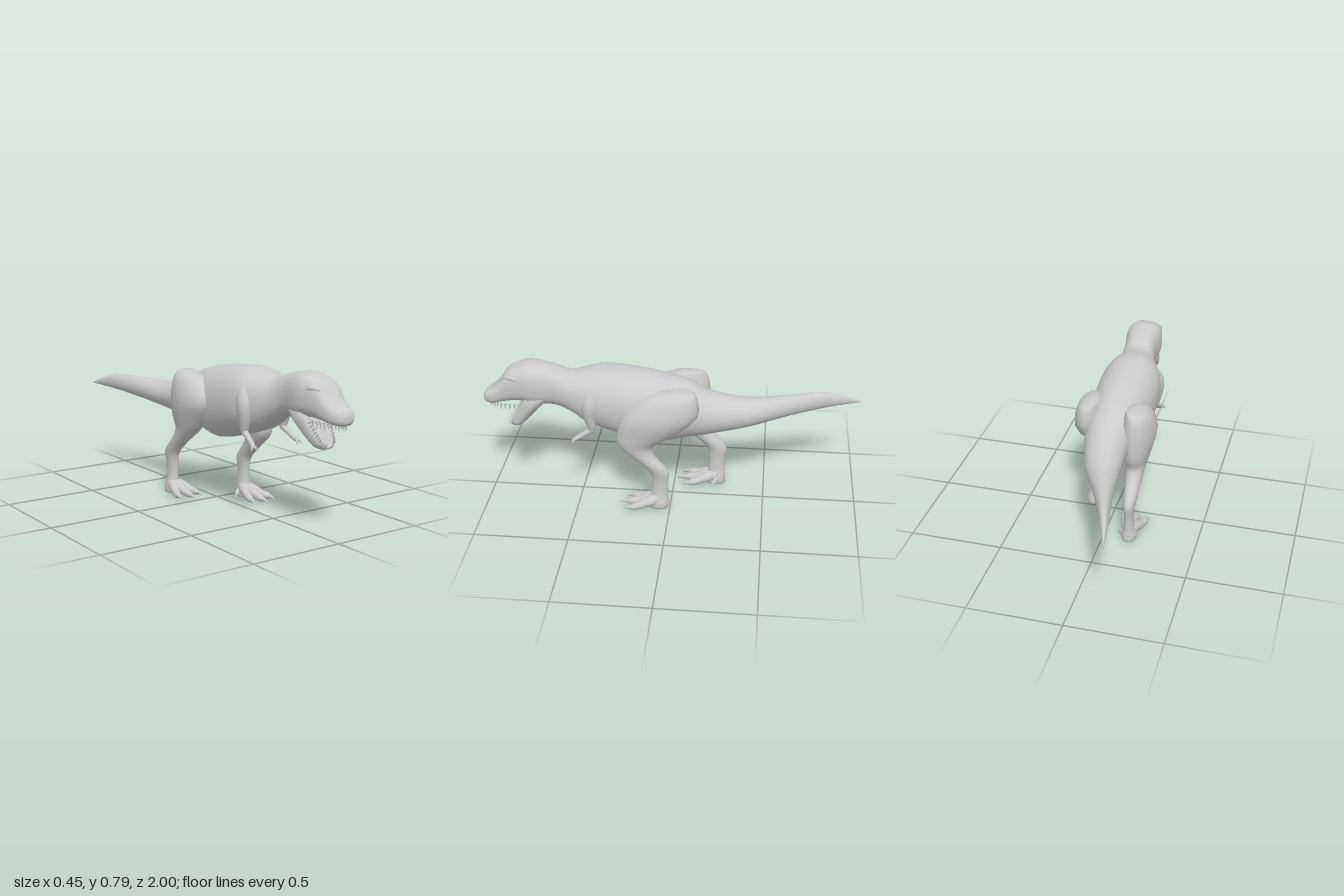
import * as THREE from 'three';

const material = new THREE.MeshStandardMaterial({ color: 0xcccccc });
const V = (x, y, z) => new THREE.Vector3(x, y, z);

// Catmull-Rom interpolation of every column in a table of sections
function smooth(rows, n) {
  const out = [];
  for (let i = 0; i < rows.length - 1; i++) {
    const p = [rows[Math.max(i - 1, 0)], rows[i], rows[i + 1], rows[Math.min(i + 2, rows.length - 1)]];
    for (let k = 0; k < n; k++) {
      const t = k / n;
      out.push(p[1].map((b, c) => {
        const a = p[0][c], d = p[2][c], e = p[3][c];
        return b + 0.5 * t * (d - a + t * (2 * a - 5 * b + 4 * d - e + t * (3 * (b - d) + e - a)));
      }));
    }
  }
  out.push(rows[rows.length - 1]);
  return out;
}

// closed surface through a list of rings, capped at both ends
function skin(name, rings) {
  const m = rings[0].length, pts = rings.flat(), index = [];
  for (let i = 0; i < rings.length - 1; i++) {
    for (let j = 0; j < m; j++) {
      const a = i * m + j, b = i * m + (j + 1) % m;
      index.push(a, b, a + m, b, b + m, a + m);
    }
  }
  for (const end of [0, rings.length - 1]) {
    const c = pts.length;
    pts.push(rings[end].reduce((s, p) => s.add(p), V(0, 0, 0)).divideScalar(m));
    for (let j = 0; j < m; j++) {
      const a = end * m + j, b = end * m + (j + 1) % m;
      index.push(...(end ? [a, b, c] : [b, a, c]));
    }
  }
  // turn the faces outward if the enclosed volume is negative
  let volume = 0;
  for (let i = 0; i < index.length; i += 3) {
    volume += pts[index[i]].dot(V(0, 0, 0).crossVectors(pts[index[i + 1]], pts[index[i + 2]]));
  }
  if (volume < 0) index.reverse();
  const geo = new THREE.BufferGeometry().setFromPoints(pts);
  geo.setIndex(index);
  geo.computeVertexNormals();
  const mesh = new THREE.Mesh(geo, material);
  mesh.name = name;
  return mesh;
}

const ring = (n, f) => Array.from({ length: n }, (_, i) => f(i / n * Math.PI * 2));
const power = (v, e) => Math.sign(v) * Math.abs(v) ** e;

// tapered round limb along points [x, y, z, radius], kept above floor
function limb(name, points, floor = -1, sides = 10) {
  const rows = smooth(points, 3);
  return skin(name, rows.map((r, i) => {
    const a = rows[Math.max(i - 1, 0)], b = rows[Math.min(i + 1, rows.length - 1)];
    const dir = V(b[0] - a[0], b[1] - a[1], b[2] - a[2]).normalize();
    const side = V(1, 0, 0).addScaledVector(dir, -dir.x).normalize();
    const up = V(0, 0, 0).crossVectors(dir, side);
    return ring(sides, (t) => {
      const p = V(r[0], r[1], r[2]).addScaledVector(side, r[3] * Math.cos(t)).addScaledVector(up, r[3] * Math.sin(t));
      p.y = Math.max(p.y, floor);
      return p;
    });
  }));
}

// leg from horizontal sections [y, x centre, half width, z centre, half depth]
function leg(name, side, rows, footZ) {
  const g = new THREE.Group();
  g.name = name;
  g.add(skin('thighAndShank', smooth(rows, 3).map(([y, x, hx, z, hz]) =>
    ring(16, (t) => V(side * (x + hx * Math.cos(t)), y, z + hz * Math.sin(t))))));
  const foot = new THREE.Group();
  foot.name = 'foot';
  foot.position.set(side * 0.136, 0, footZ);
  for (const a of [-1, 0, 1]) {
    const k = a ? 1 : 1.15;
    foot.add(limb('toe', [
      [0, 0.055, 0, 0.034], [a * 0.028, 0.042, 0.06 * k, 0.029], [a * 0.047, 0.028, 0.105 * k, 0.021],
      [a * 0.058, 0.023, 0.14 * k, 0.019], [a * 0.062, 0.016, 0.16 * k, 0.008]], 0.004));
    foot.add(limb('claw', [
      [a * 0.058, 0.024, 0.145 * k, 0.013], [a * 0.064, 0.02, 0.172 * k, 0.009], [a * 0.068, 0.008, 0.196 * k, 0.001]], 0.003, 7));
  }
  foot.add(limb('dewclaw', [
    [-side * 0.02, 0.04, 0, 0.018], [-side * 0.05, 0.025, 0.01, 0.012], [-side * 0.066, 0.01, 0.03, 0.001]], 0.003, 7));
  g.add(foot);
  return g;
}

function arm(side) {
  const g = new THREE.Group();
  g.name = side > 0 ? 'leftArm' : 'rightArm';
  const at = (rows) => rows.map(([x, ...rest]) => [side * x, ...rest]);
  g.add(limb('upperArmAndForearm', at([
    [0.1, 0.69, 0.4, 0.03], [0.125, 0.61, 0.42, 0.045], [0.127, 0.53, 0.425, 0.033], [0.122, 0.46, 0.415, 0.021],
    [0.126, 0.437, 0.445, 0.015], [0.131, 0.415, 0.48, 0.014], [0.137, 0.4, 0.505, 0.012]])));
  for (const [x, y, z] of [[0.125, 0.374, 0.528], [0.158, 0.378, 0.522]]) {
    g.add(limb('finger', at([
      [0.136, 0.405, 0.498, 0.01], [(x + 0.139) / 2, y + 0.018, z - 0.008, 0.007], [x, y, z, 0.001]]), -1, 7));
  }
  return g;
}

function tooth(base, dir, length) {
  const mesh = new THREE.Mesh(new THREE.ConeGeometry(0.0065, length, 6), material);
  mesh.name = 'tooth';
  mesh.quaternion.setFromUnitVectors(V(0, 1, 0), dir);
  mesh.position.copy(base).addScaledVector(dir, length / 2 - 0.006);
  return mesh;
}

export function createModel() {
  const model = new THREE.Group();
  model.name = 'dinosaur';

  // tail, trunk, neck and upper head: [z, x centre, half width, top, bottom, squareness]
  const body = [
    [-1, -0.205, 0.003, 0.525, 0.515, 1], [-0.88, -0.175, 0.019, 0.572, 0.507, 1],
    [-0.78, -0.147, 0.03, 0.594, 0.497, 1], [-0.6, -0.095, 0.052, 0.592, 0.472, 1],
    [-0.4, -0.035, 0.09, 0.596, 0.44, 1], [-0.2, 0, 0.115, 0.645, 0.41, 1],
    [-0.08, 0, 0.14, 0.706, 0.385, 1], [0.08, 0, 0.16, 0.745, 0.355, 0.95],
    [0.25, 0, 0.168, 0.765, 0.395, 0.9], [0.37, 0, 0.162, 0.77, 0.43, 0.9],
    [0.46, 0.005, 0.138, 0.753, 0.465, 0.9], [0.54, 0.012, 0.104, 0.739, 0.52, 0.9],
    [0.62, 0.02, 0.088, 0.772, 0.555, 0.85], [0.73, 0.023, 0.102, 0.79, 0.565, 0.75],
    [0.79, 0.024, 0.098, 0.783, 0.58, 0.7], [0.865, 0.028, 0.085, 0.752, 0.575, 0.7],
    [0.905, 0.032, 0.075, 0.695, 0.568, 0.7], [0.95, 0.038, 0.067, 0.652, 0.562, 0.7],
    [0.985, 0.041, 0.05, 0.634, 0.562, 0.75], [1, 0.041, 0.03, 0.61, 0.577, 0.9]];
  model.add(skin('bodyAndHead', smooth(body, 3).map(([z, x, hw, top, bottom, e]) =>
    ring(24, (t) => V(x + hw * power(Math.cos(t), e),
      (top + bottom) / 2 + (top - bottom) / 2 * power(Math.sin(t), e), z)))));

  // brow ridges
  for (const s of [-1, 1]) {
    model.add(limb('brow', [[0.025 + s * 0.085, 0.715, 0.79, 0.008], [0.027 + s * 0.073, 0.728, 0.84, 0.015],
      [0.029 + s * 0.06, 0.72, 0.878, 0.006]]));
  }

  // lower jaw, hollow on top: [x centre, half width, lower z, lower y, upper z, upper y]
  const jaw = smooth([
    [0.023, 0.085, 0.62, 0.6, 0.76, 0.64], [0.024, 0.094, 0.685, 0.555, 0.79, 0.59],
    [0.028, 0.082, 0.735, 0.502, 0.818, 0.54], [0.034, 0.069, 0.775, 0.459, 0.842, 0.495],
    [0.04, 0.054, 0.808, 0.43, 0.858, 0.46], [0.043, 0.028, 0.84, 0.422, 0.866, 0.44]], 3);
  model.add(skin('lowerJaw', jaw.map(([x, hw, lz, ly, uz, uy]) => ring(24, (t) => {
    const v = Math.sin(t) > 0 ? Math.abs(Math.sin(2 * t)) : Math.sin(t);
    return V(x + hw * Math.cos(t), (ly + uy) / 2 + (uy - ly) / 2 * v, (lz + uz) / 2 + (uz - lz) / 2 * v);
  }))));

  // teeth round the upper lip and along both rims of the lower jaw
  for (let i = 0; i < 19; i++) {
    const a = (i / 9 - 1) * 1.6;
    model.add(tooth(V(0.036 + 0.064 * Math.sin(a), 0.566, 0.835 + 0.14 * Math.cos(a)),
      V(0, -1, 0.1).normalize(), 0.034 + 0.008 * (i % 2)));
  }
  for (let i = 5; i < jaw.length; i++) {
    const [x, hw, lz, ly, uz, uy] = jaw[i];
    const dir = V(0, uy - ly + 0.015, uz - lz).normalize();
    for (const s of [-1, 1]) model.add(tooth(V(x + s * hw * 0.72, uy, uz), dir, 0.026 + 0.008 * (i % 2)));
  }

  // striding legs, the left one forward
  model.add(leg('leftLeg', 1, [
    [0.705, 0.115, 0.03, -0.06, 0.05], [0.675, 0.13, 0.062, -0.01, 0.13], [0.56, 0.133, 0.093, 0.055, 0.195],
    [0.45, 0.135, 0.07, 0.135, 0.15], [0.38, 0.135, 0.054, 0.185, 0.095], [0.31, 0.137, 0.042, 0.14, 0.063],
    [0.23, 0.138, 0.034, 0.062, 0.053], [0.16, 0.137, 0.025, 0.054, 0.044], [0.08, 0.137, 0.028, 0.056, 0.045],
    [0.035, 0.137, 0.042, 0.06, 0.052], [0.004, 0.137, 0.04, 0.06, 0.052]], 0.055));
  model.add(leg('rightLeg', -1, [
    [0.705, 0.115, 0.03, -0.1, 0.05], [0.67, 0.135, 0.065, -0.06, 0.12], [0.56, 0.133, 0.096, -0.025, 0.17],
    [0.45, 0.135, 0.073, -0.06, 0.13], [0.385, 0.135, 0.055, -0.08, 0.088], [0.32, 0.137, 0.043, -0.145, 0.066],
    [0.235, 0.138, 0.034, -0.232, 0.055], [0.16, 0.137, 0.025, -0.237, 0.045], [0.08, 0.137, 0.028, -0.235, 0.046],
    [0.035, 0.137, 0.042, -0.232, 0.053], [0.004, 0.137, 0.04, -0.232, 0.053]], -0.236));

  for (const s of [-1, 1]) model.add(arm(s));
  return model;
}
